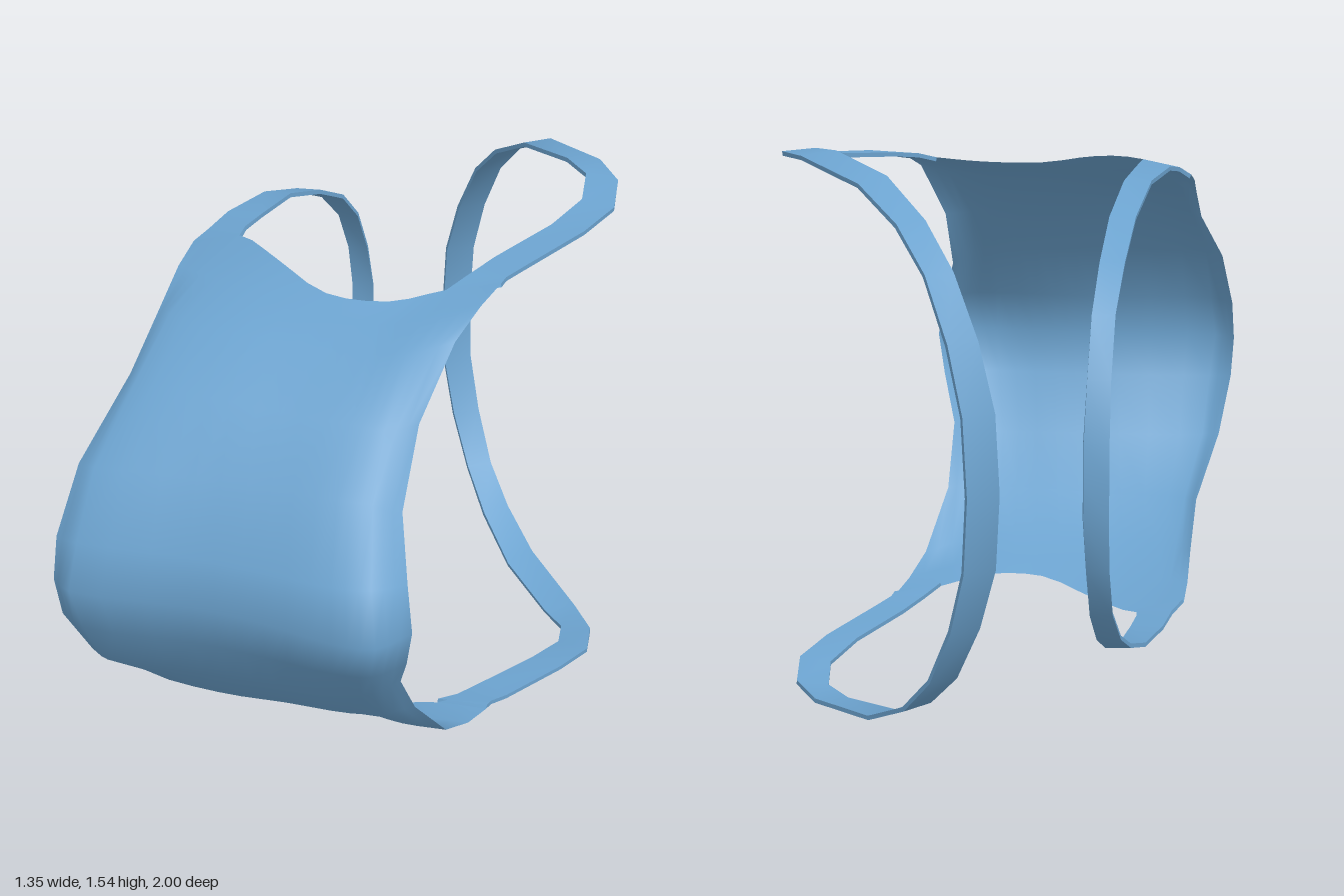
import * as THREE from 'three';
import { toCreasedNormals } from 'three/addons/utils/BufferGeometryUtils.js';

const MID = 0.77; // height of the symmetry plane
const V = (x, y, z) => new THREE.Vector3(x, y, z);

// Half of a list running from the mid plane upward becomes a full list, bottom to top
const flipPoint = (p) => V(p.x, 2 * MID - p.y, p.z);
const mirrored = (rows) => [...rows.slice(1).reverse().map((row) => row.map(flipPoint)), ...rows];

// Surface through a grid of points, rows x columns
function gridGeometry(rows) {
  const n = rows[0].length;
  const index = [];
  for (let i = 0; i < rows.length - 1; i++) {
    for (let j = 0; j < n - 1; j++) {
      const a = i * n + j, b = a + 1, c = a + n, d = c + 1;
      index.push(a, b, d, a, d, c);
    }
  }
  const geometry = new THREE.BufferGeometry().setFromPoints(rows.flat());
  geometry.setIndex(index);
  geometry.computeVertexNormals();
  return geometry;
}

// Shell sections from the mid plane to the upper rim: x, y, z
const SECTIONS = [
  [[-.675, .77, .82], [-.62, .77, .87], [-.3, .77, .89], [-.1, .77, .93], [.09, .77, .99], [.2, .77, .995], [.28, .77, .91]],
  [[-.665, .89, .8], [-.6, .9, .84], [-.3, .9, .86], [-.1, .9, .895], [.08, .9, .935], [.18, .9, .935], [.262, .89, .875]],
  [[-.62, 1.06, .71], [-.57, 1.07, .74], [-.3, 1.07, .76], [-.1, 1.07, .78], [.07, 1.07, .8], [.16, 1.06, .79], [.23, 1.03, .76]],
  [[-.53, 1.22, .5], [-.5, 1.23, .56], [-.3, 1.235, .615], [-.1, 1.225, .645], [.08, 1.22, .67], [.17, 1.21, .67], [.25, 1.21, .625]],
  [[-.495, 1.32, .3], [-.455, 1.33, .36], [-.3, 1.335, .44], [-.1, 1.335, .475], [.1, 1.335, .51], [.2, 1.35, .52], [.32, 1.38, .49]],
  [[-.475, 1.38, .17], [-.4, 1.385, .22], [-.26, 1.39, .3], [-.08, 1.375, .39], [.11, 1.378, .425], [.23, 1.4, .415], [.37, 1.43, .38]],
  [[-.455, 1.41, .07], [-.32, 1.45, .1], [-.2, 1.445, .21], [-.04, 1.41, .33], [.13, 1.41, .35], [.27, 1.43, .3], [.41, 1.45, .28]],
];

// Smooth each section from side to side, then join the sections
function shellGeometry(steps) {
  return gridGeometry(mirrored(SECTIONS.map((section) =>
    new THREE.CatmullRomCurve3(section.map((p) => V(...p))).getPoints(steps))));
}

// Strap stations from the back middle to the shell rim:
// y, outer x, z, inner x, z and, where it differs, inner y
const LONG_STRAP = [
  [.77, .18, -1, .1, -.96], [.97, .19, -.98, .11, -.94], [1.14, .225, -.935, .15, -.89],
  [1.3, .28, -.86, .21, -.82], [1.41, .35, -.77, .28, -.71], [1.49, .45, -.63, .38, -.56, 1.5],
  [1.53, .61, -.4, .52, -.37, 1.54], [1.525, .67, -.27, .58, -.28, 1.535],
  [1.505, .67, -.13, .58, -.16, 1.51], [1.487, .6, 0, .51, -.03], [1.465, .46, .2, .38, .15],
  [1.455, .42, .25, .32, .24, 1.45], [1.45, .41, .28, .27, .3, 1.43],
];
const SHORT_STRAP = [
  [.77, -.175, -.855, -.11, -.86], [.87, -.175, -.85, -.11, -.855], [1.02, -.18, -.81, -.12, -.81],
  [1.17, -.195, -.72, -.135, -.72], [1.28, -.225, -.6, -.16, -.6], [1.37, -.265, -.42, -.195, -.42],
  [1.437, -.32, -.23, -.245, -.23], [1.45, -.385, -.05, -.29, -.05],
  [1.435, -.42, .04, -.315, .05, 1.455], [1.41, -.455, .07, -.32, .1, 1.45],
];

// Flat band with four-cornered cross-sections, its thickness set inward
function strapGeometry(stations, thickness) {
  const edges = mirrored(stations.map(([y, ox, oz, ix, iz, iy = y]) => [V(ox, y, oz), V(ix, iy, iz)]));
  const middles = edges.map(([a, b]) => a.clone().lerp(b, 0.5));
  const rows = edges.map(([a, b], i) => {
    const next = middles[Math.min(i + 1, edges.length - 1)];
    const prev = middles[Math.max(i - 1, 0)];
    const inward = next.clone().sub(prev).cross(b.clone().sub(a)).normalize();
    if (inward.dot(V(0, MID, 0).sub(middles[i])) < 0) inward.negate();
    inward.multiplyScalar(thickness);
    return [a, b, b.clone().add(inward), a.clone().add(inward), a];
  });
  return toCreasedNormals(gridGeometry(rows), 0.7);
}

export function createModel() {
  const blue = new THREE.MeshStandardMaterial({ color: 0x6ca3cf, side: THREE.DoubleSide });
  blue.name = 'soft blue';
  const model = new THREE.Group();
  model.name = 'faceMask';
  const add = (name, geometry) => {
    const mesh = new THREE.Mesh(geometry, blue);
    mesh.name = name;
    model.add(mesh);
  };

  add('maskShell', shellGeometry(18));
  add('longStrap', strapGeometry(LONG_STRAP, 0.012));
  add('shortStrap', strapGeometry(SHORT_STRAP, 0.012));
  return model;
}
